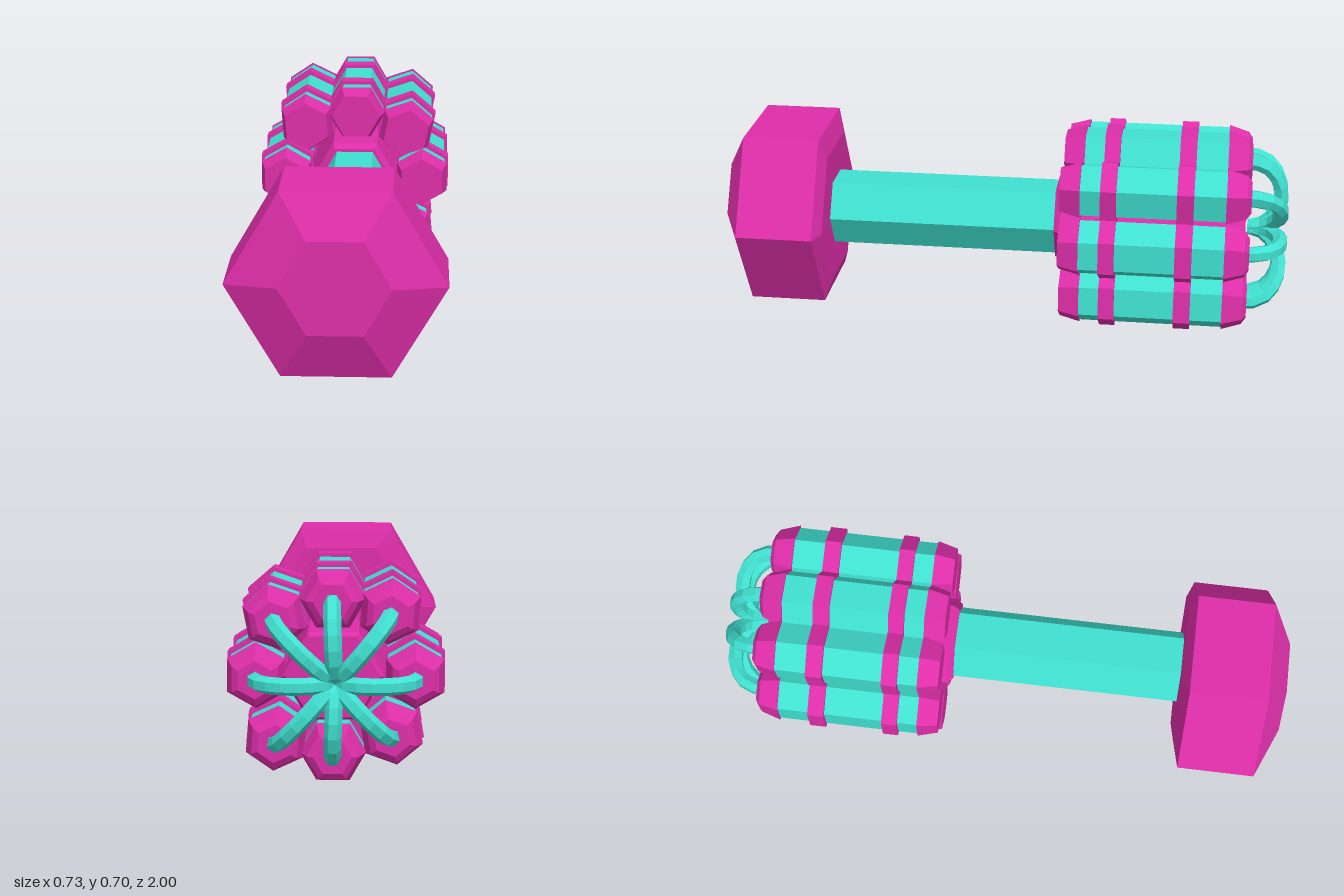
import * as THREE from 'three';

const magenta = new THREE.MeshStandardMaterial({ color: 0xdd2ea8 });
magenta.name = 'magenta';
magenta.flatShading = true;
const turquoise = new THREE.MeshStandardMaterial({ color: 0x40e0d0 });
turquoise.name = 'turquoise';
turquoise.flatShading = true;

// Hexagonal solid along z from [radius, z] pairs, listed back to front; flats face +x and -x
function hexSolid(name, material, profile) {
  const points = [[0, profile[0][1]], ...profile, [0, profile[profile.length - 1][1]]];
  const geometry = new THREE.LatheGeometry(points.map(([r, z]) => new THREE.Vector2(r, z)), 6);
  geometry.rotateX(Math.PI / 2);
  const mesh = new THREE.Mesh(geometry, material);
  mesh.name = name;
  return mesh;
}

// One barrel of the cluster, centred on its own axis
function createBarrel() {
  const barrel = new THREE.Group();
  barrel.name = 'barrel';
  barrel.add(
    hexSolid('barrelBody', turquoise, [[0.1, -0.79], [0.1, -0.27]]),
    hexSolid('frontCap', magenta, [[0.108, -0.28], [0.088, -0.208]]),
    hexSolid('rearCap', magenta, [[0.062, -0.865], [0.085, -0.85], [0.108, -0.78]]),
    hexSolid('frontBand', magenta, [[0.115, -0.405], [0.115, -0.35]]),
    hexSolid('rearBand', magenta, [[0.115, -0.67], [0.115, -0.612]])
  );
  return barrel;
}

// Hose arching from a barrel's rear to the hub; local +x points outward
function createHose(reach) {
  const points = [new THREE.Vector3(reach, 0, -0.84)];
  for (let i = 0; i <= 6; i++) {
    const a = (i / 6) * Math.PI;
    points.push(new THREE.Vector3(reach / 2 * (1 + Math.cos(a)), 0, -0.865 - 0.108 * Math.sin(a)));
  }
  const curve = new THREE.CatmullRomCurve3(points);
  const hose = new THREE.Mesh(new THREE.TubeGeometry(curve, 9, 0.028, 6), turquoise);
  hose.name = 'hose';
  return hose;
}

export function createModel() {
  const model = new THREE.Group();
  model.name = 'barrelHammer';

  // Heavy counterweight, with its end faces slightly off centre
  const weight = hexSolid('counterweight', magenta,
    [[0.275, 0.63], [0.357, 0.655], [0.357, 0.925], [0.18, 1.0]]);
  weight.geometry.rotateZ(Math.PI / 6);
  const p = weight.geometry.attributes.position;
  for (let i = 0; i < p.count; i++) {
    if (p.getZ(i) > 0.95) p.setY(i, p.getY(i) + 0.016);
    if (p.getZ(i) < 0.64) p.setX(i, p.getX(i) + 0.02);
  }
  weight.position.set(-0.009, 0.358, 0);
  model.add(weight);

  // Handle shaft, and the core that carries the barrels
  const shaft = hexSolid('shaft', turquoise, [[0.133, -0.3], [0.133, 0.645]]);
  const core = hexSolid('core', magenta, [[0.15, -0.85], [0.163, -0.83], [0.163, -0.2], [0.145, -0.178]]);
  for (const part of [shaft, core]) {
    part.geometry.rotateZ(Math.PI / 6);
    part.position.set(0.012, 0.36, 0);
    model.add(part);
  }

  // Eight barrels: [angle, facing, distance from the axis], slightly uneven
  const layout = [
    [0, 0, 0.255], [44, 49, 0.272], [88, 90, 0.25], [130, 124, 0.272],
    [180, 180, 0.255], [226, 230, 0.258], [272, 270, 0.25], [313, 305, 0.282],
  ];
  const rad = THREE.MathUtils.degToRad;
  for (const [angle, facing, distance] of layout) {
    const a = rad(angle);
    const barrel = createBarrel();
    barrel.position.set(0.006 + distance * Math.cos(a), 0.352 + distance * Math.sin(a), 0);
    barrel.rotation.z = rad(facing);
    const hose = createHose(distance);
    hose.position.set(0.006, 0.352, 0);
    hose.rotation.z = a;
    model.add(barrel, hose);
  }
  return model;
}
